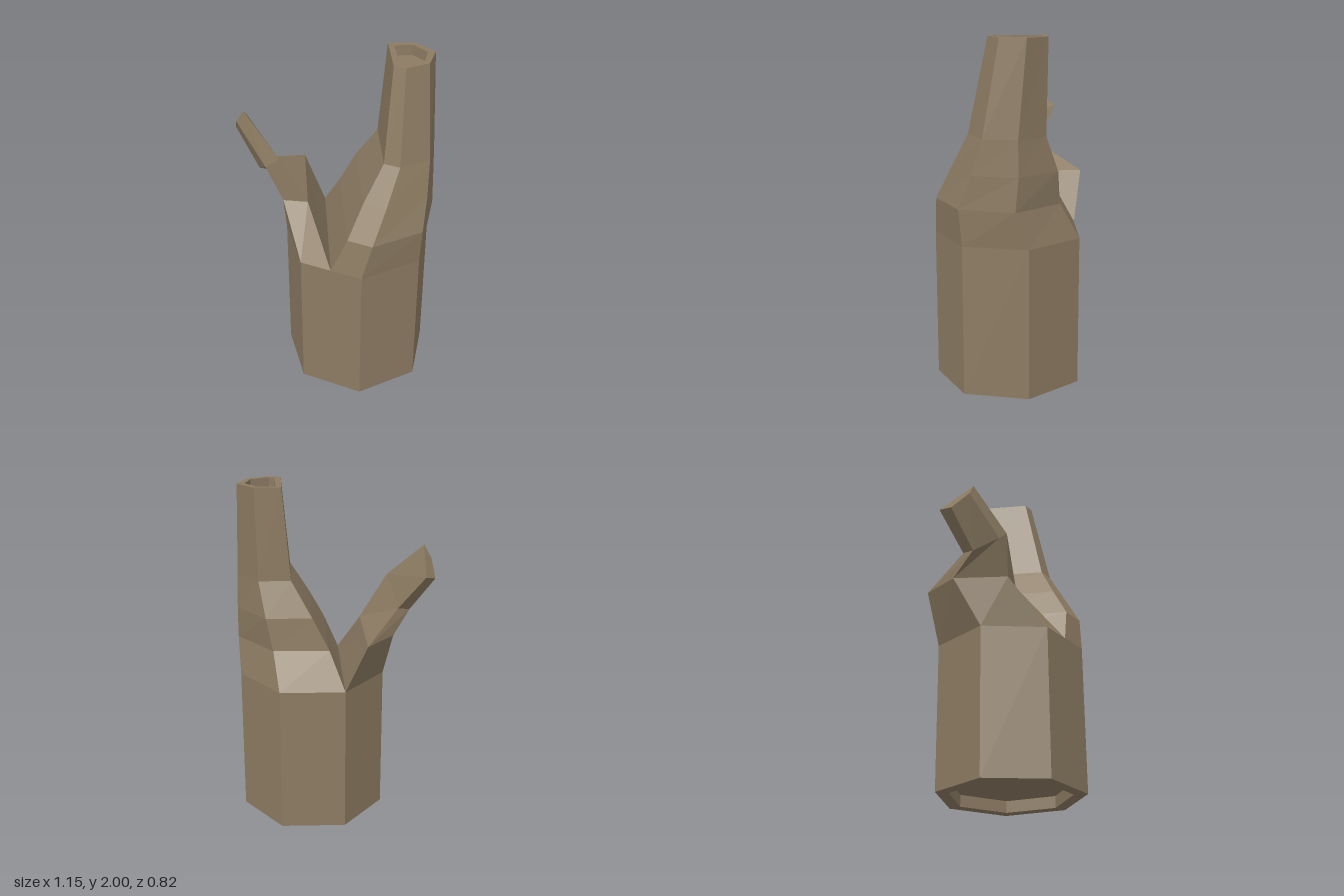
import * as THREE from 'three';

const bark = new THREE.MeshStandardMaterial({ color: 0x8c7b62, flatShading: true });

// Joins rings of [x, y, z] points with quads; optional flat caps at either end.
function loft(name, rings, capStart, capEnd) {
  const pos = [];
  const tri = (a, b, c) => pos.push(...a, ...b, ...c);
  for (let r = 0; r < rings.length - 1; r++) {
    const lo = rings[r], hi = rings[r + 1], n = lo.length;
    for (let i = 0; i < n; i++) {
      const j = (i + 1) % n;
      tri(lo[i], lo[j], hi[j]);
      tri(lo[i], hi[j], hi[i]);
    }
  }
  const first = rings[0], last = rings[rings.length - 1];
  for (let i = 1; i < first.length - 1; i++) {
    if (capStart) tri(first[0], first[i + 1], first[i]);
    if (capEnd) tri(last[0], last[i], last[i + 1]);
  }
  const geo = new THREE.BufferGeometry();
  geo.setAttribute('position', new THREE.Float32BufferAttribute(pos, 3));
  geo.computeVertexNormals();
  const mesh = new THREE.Mesh(geo, bark);
  mesh.name = name;
  return mesh;
}

// Seven-sided trunk section.
function heptagon(radius, y) {
  return Array.from({ length: 7 }, (_, i) => {
    const a = (i - 0.5) * Math.PI * 2 / 7;
    return [0.14 + radius * Math.sin(a), y, 0.022 + radius * Math.cos(a)];
  });
}

// Turns a list of [x, z] points into a level ring.
const level = (y, pts) => pts.map(([x, z]) => [x, y, z]);

export function createModel() {
  const group = new THREE.Group();
  group.name = 'forkedTreeTrunk';

  // Trunk with a recessed underside
  const R = 0.431, splitY = 0.87;
  const top = heptagon(R, splitY);
  group.add(loft('trunk', [
    heptagon(R * 0.82, 0.07), heptagon(R * 0.82, 0), heptagon(R, 0), top,
  ], true, false));

  // The fork runs from the middle of the front side to the back left corner
  const fork = [0.14, splitY, top[0][2]];

  // Main limb, ending in a rim around a shallow hollow
  const hollow = [[0.355, 0], [0.39, 0], [0.457, -0.095], [0.433, -0.207], [0.33, -0.257], [0.24, -0.21]];
  group.add(loft('mainLimb', [
    [fork, top[1], top[2], top[3], top[4], top[5]],
    level(1.08, [[0.225, 0.375], [0.375, 0.375], [0.575, 0.13], [0.52, -0.185], [0.22, -0.32], [-0.07, -0.185]]),
    level(1.27, [[0.27, 0.26], [0.405, 0.26], [0.565, 0.055], [0.51, -0.2], [0.26, -0.325], [0.025, -0.21]]),
    level(1.47, [[0.335, 0.14], [0.43, 0.14], [0.548, -0.005], [0.505, -0.195], [0.325, -0.28], [0.16, -0.2]]),
    level(2, [[0.33, 0.03], [0.4, 0.03], [0.49, -0.08], [0.47, -0.23], [0.33, -0.292], [0.195, -0.23]]),
    level(2, hollow),
    level(1.94, hollow),
  ], false, true));

  // Side branch, leaning outwards and cut off flat
  group.add(loft('sideBranch', [
    [top[5], top[6], top[0], fork],
    level(1.16, [[-0.325, -0.235], [-0.385, 0], [-0.22, 0.265], [-0.085, 0.225]]),
    [[-0.385, 1.3, 0.07], [-0.42, 1.27, 0.165], [-0.32, 1.36, 0.275], [-0.235, 1.43, 0.27]],
    [[-0.56, 1.515, 0.03], [-0.58, 1.485, 0.13], [-0.525, 1.575, 0.215], [-0.48, 1.65, 0.21]],
  ], false, true));

  return group;
}
